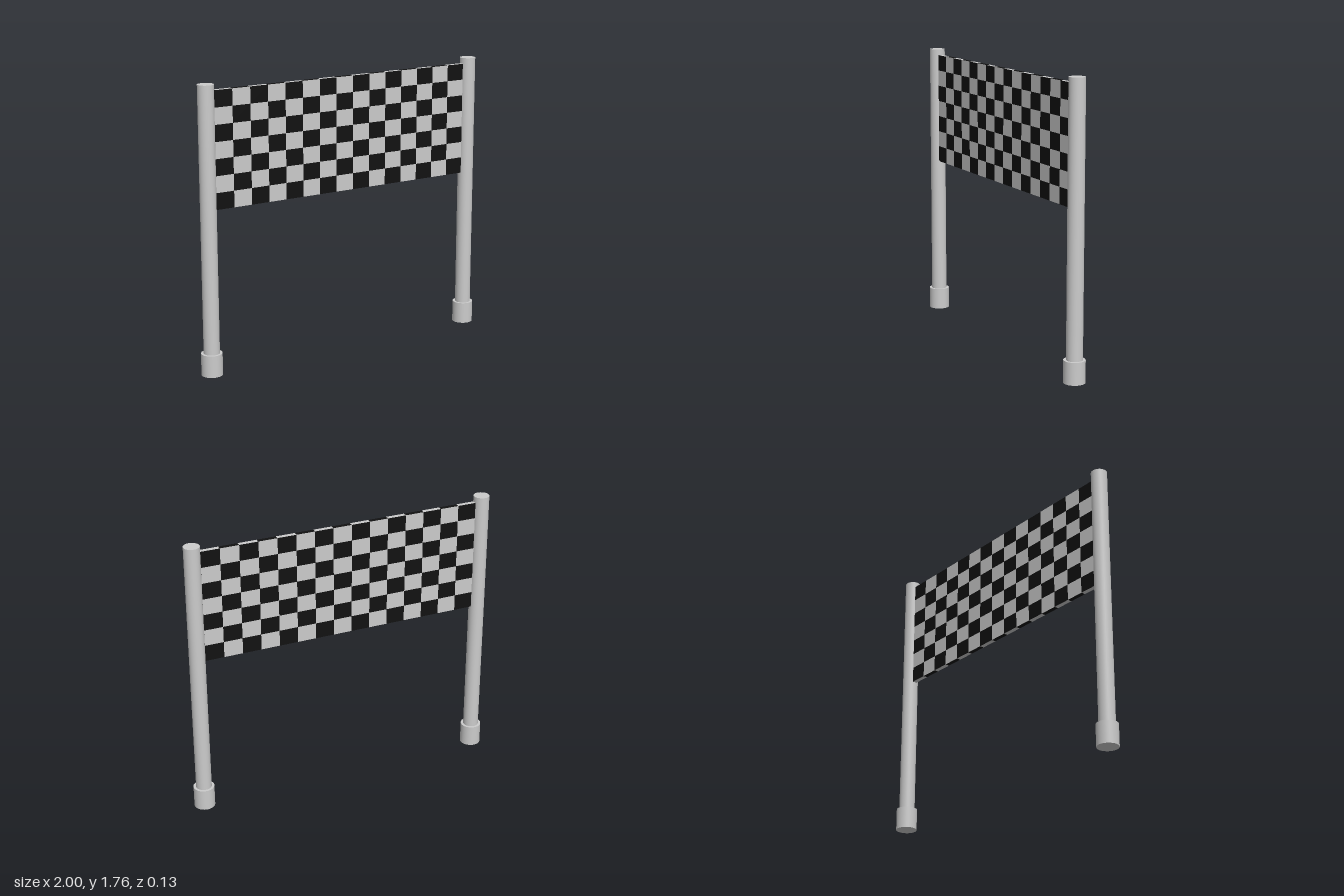
import * as THREE from 'three';

const grey = new THREE.MeshStandardMaterial({ color: 0xcccccc });
const black = new THREE.MeshStandardMaterial({ color: 0x111111 });

const COLS = 15, ROWS = 7;
const BOTTOM = 1.016, TOP = 1.725;

// Upright cylinder standing from y0 to y1
function column(name, radius, y0, y1, x) {
  const mesh = new THREE.Mesh(new THREE.CylinderGeometry(radius, radius, y1 - y0, 32), grey);
  mesh.name = name;
  mesh.position.set(x, (y0 + y1) / 2, 0);
  return mesh;
}

// Thin board whose squares are split into a black and a grey mesh
function checkeredBanner() {
  const banner = new THREE.Group();
  banner.name = 'banner';
  const board = new THREE.BoxGeometry(1.776, TOP - BOTTOM, 0.028, COLS, ROWS, 1);
  const index = Array.from(board.index.array);
  const picked = { black: [], grey: [] };

  board.groups.forEach(({ start, count }, face) => {
    // Front and back begin with black; the narrow edges are inverted
    const blackParity = face >= 4 ? 0 : 1;
    for (let square = 0; square < count / 6; square++) {
      const list = square % 2 === blackParity ? picked.black : picked.grey;
      list.push(...index.slice(start + square * 6, start + square * 6 + 6));
    }
  });

  for (const [name, material] of [['black', black], ['grey', grey]]) {
    const geometry = board.clone();
    geometry.clearGroups();
    geometry.setIndex(picked[name]);
    const mesh = new THREE.Mesh(geometry, material);
    mesh.name = name + 'Squares';
    banner.add(mesh);
  }
  banner.position.y = (BOTTOM + TOP) / 2;
  return banner;
}

export function createModel() {
  const model = new THREE.Group();
  model.name = 'finishGate';

  // Posts with wider feet
  for (const [side, s] of [['left', 1], ['right', -1]]) {
    const x = 0.935 * s;
    model.add(column(side + 'Post', 0.049, 0.1, 1.762, x));
    model.add(column(side + 'Foot', 0.065, 0, 0.136, x));
  }

  model.add(checkeredBanner());
  return model;
}
